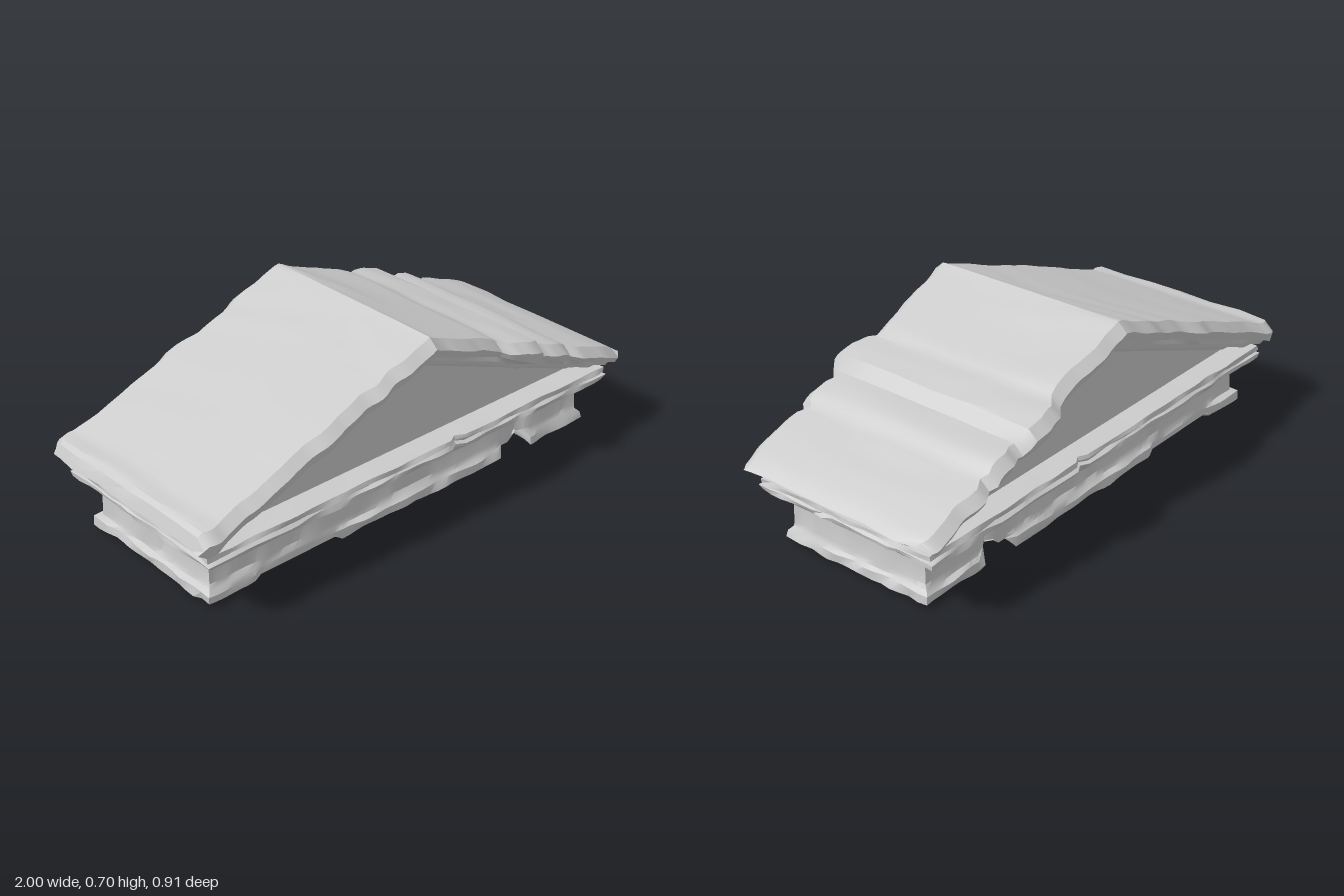
import * as THREE from 'three';
import { toCreasedNormals } from 'three/addons/utils/BufferGeometryUtils.js';

const { lerp, clamp } = THREE.MathUtils;
const stone = new THREE.MeshStandardMaterial({ color: 0xcccccc });

// seeded value noise in -1..1, smooth along t
function hash(n, seed) {
  const s = Math.sin(n * 127.1 + seed * 311.7) * 43758.5453;
  return (s - Math.floor(s)) * 2 - 1;
}
function noise(t, seed) {
  const i = Math.floor(t), f = t - i;
  return lerp(hash(i, seed), hash(i + 1, seed), f * f * (3 - 2 * f));
}

// piecewise linear curve through [x, y] points
function curve(points, x) {
  for (let i = 1; i < points.length; i++) {
    const [x0, y0] = points[i - 1], [x1, y1] = points[i];
    if (x <= x1) return lerp(y0, y1, clamp((x - x0) / (x1 - x0), 0, 1));
  }
  return points[points.length - 1][1];
}

// skin closed loops of equal length into one surface
function loft(name, loops, crease = 0.6) {
  const n = loops[0].length, index = [];
  for (let r = 0; r < loops.length - 1; r++) {
    for (let i = 0; i < n; i++) {
      const a = r * n + i, b = r * n + (i + 1) % n;
      index.push(a, b, b + n, a, b + n, a + n);
    }
  }
  const geometry = new THREE.BufferGeometry();
  geometry.setAttribute('position', new THREE.Float32BufferAttribute(loops.flat(2), 3));
  geometry.setIndex(index);
  const mesh = new THREE.Mesh(toCreasedNormals(geometry, crease), stone);
  mesh.name = name;
  return mesh;
}

// rectangular loop with worn edges, run counter-clockwise seen from above
function rectLoop(hx, hz, y, wear, seed, chip) {
  const loop = [], nx = 56, nz = 16;
  const side = (n, x0, z0, x1, z1) => {
    for (let i = 0; i < n; i++) {
      let x = lerp(x0, x1, i / n), z = lerp(z0, z1, i / n), py = y;
      const along = x * 11 + z * 17;
      const d = wear * noise(along, seed);
      if (hx > 0) {
        x *= 1 + d / hx;
        z *= 1 + d / hz;
        py += wear * 0.6 * noise(along * 0.8, seed + 9);
      }
      if (chip) [x, py, z] = chip(x, py, z);
      loop.push([x, Math.max(py, 0), z]);
    }
  };
  side(nx, -hx, hz, hx, hz);
  side(nz, hx, hz, hx, -hz);
  side(nx, hx, -hz, -hx, -hz);
  side(nz, -hx, -hz, -hx, hz);
  return loop;
}

// broken pieces of the lower moulding on both long sides
function chipBase(x, y, z) {
  if (Math.abs(z) < 0.2) return [x, y, z];
  const gap = x > 0.455 && x < 0.605;
  const shallow = x > -0.7 && x < -0.33;
  if (gap && y < 0.1) {
    y = Math.max(y, x > 0.53 ? 0.075 : 0.05);
    z = Math.sign(z) * Math.min(Math.abs(z), 0.292);
  } else if (shallow && y < 0.1) {
    y = Math.max(y, 0.026);
    z = Math.sign(z) * Math.min(Math.abs(z), 0.305);
  }
  // vertical crack through the frieze
  if (Math.abs(x - 0.575) < 0.018 && Math.abs(z) > 0.27) z *= 0.93;
  return [x, y, z];
}

// notch through the cornice
function chipCornice(x, y, z) {
  if (Math.abs(x - 0.16) < 0.02 && Math.abs(z) > 0.3) z *= 0.95;
  return [x, y, z];
}

// roof silhouette, with slumped blocks on the model's left slope
const ridgeLine = [[-1, 0.30], [-0.975, 0.355], [-0.9, 0.363], [-0.5, 0.515], [0, 0.70],
  [0.32, 0.575], [0.36, 0.55], [0.43, 0.538], [0.5, 0.52], [0.54, 0.475], [0.6, 0.468],
  [0.65, 0.457], [0.7, 0.42], [0.85, 0.37], [0.97, 0.318], [1, 0.295]];
// extra overhang of the roof blocks along x
const overhang = [[-1, -0.02], [-0.93, 0.01], [-0.8, -0.008], [-0.55, 0], [-0.47, 0.013], [-0.4, -0.006],
  [0, 0], [0.34, -0.012], [0.38, 0.02], [0.44, 0.032], [0.51, 0.022], [0.55, -0.012],
  [0.6, 0.012], [0.68, 0.008], [0.7, -0.015], [0.74, 0.008], [0.97, 0], [1, -0.025]];
// half of the stepped raking section: [z, drop below the roof surface]
const rake = [[0, 0], [0.14, 0], [0.27, 0], [0.385, 0.002], [0.422, 0.035], [0.412, 0.066],
  [0.385, 0.072], [0.38, 0.092], [0.345, 0.098], [0.338, 0.12], [0.3, 0.125], [0.29, 0.145], [0, 0.145]];

function roofSection(x) {
  const top = curve(ridgeLine, x), out = curve(overhang, x);
  const straight = 0.70 - Math.abs(x) * 0.378;
  const tip = clamp((Math.abs(x) - 0.92) / 0.08, 0, 1);
  const floor = lerp(0.243, 0.297, tip);
  const point = (z, drop, sign) => {
    const edge = Math.abs(z) > 0.3 ? 1 : 0;
    const wear = edge * (out + 0.008 * noise(x * 17, drop > 0.07 ? 3 : 4 + sign));
    // upper surface follows the slumped line, soffit stays straight
    const base = drop < 0.05 ? top : Math.min(straight, top + 0.015);
    const lift = x === 0 ? 0 : 0.005 * noise(x * 14 + z * 6, 21 + sign);
    const y = base - drop + (drop < 0.05 ? lift : 0);
    const ragged = tip * 0.015 * (noise(z * sign * 14, 31) - 1);
    const px = x + Math.sign(x) * (tip === 1 && z === 0 ? 0 : ragged);
    return [px, Math.max(y, floor), sign * (z + wear * (drop > 0.09 ? 0.4 : 1))];
  };
  const right = rake.map(([z, d]) => point(z, d, 1));
  const left = rake.slice(1, -1).reverse().map(([z, d]) => point(z, d, -1));
  return [...right, ...left];
}

export function createModel() {
  const group = new THREE.Group();

  // hollow frieze with its broken lower moulding: [half width, half depth, y, wear]
  const base = [[0, 0, 0.15, 0], [0.81, 0.235, 0.15, 0], [0.815, 0.24, 0.02, 0.004],
    [0.88, 0.305, 0.006, 0.006], [0.895, 0.317, 0.016, 0.008], [0.893, 0.317, 0.045, 0.008],
    [0.878, 0.302, 0.057, 0.005], [0.873, 0.294, 0.075, 0.004], [0.873, 0.294, 0.165, 0.003]];
  group.add(loft('frieze', base.map(([hx, hz, y, w], i) => rectLoop(hx, hz, y, w, 1 + i * 0.01, chipBase))));

  // stepped horizontal cornice
  const cornice = [[0, 0, 0.157, 0], [0.885, 0.33, 0.157, 0.003], [0.9, 0.35, 0.175, 0.005],
    [0.908, 0.362, 0.193, 0.005], [0.932, 0.378, 0.198, 0.007], [0.934, 0.38, 0.215, 0.007],
    [0.918, 0.368, 0.222, 0.005], [0.938, 0.378, 0.228, 0.007], [0.935, 0.372, 0.243, 0.006],
    [0.9, 0.31, 0.246, 0], [0, 0, 0.246, 0]];
  group.add(loft('cornice', cornice.map(([hx, hz, y, w], i) => rectLoop(hx, hz, y, w, 2 + i * 0.01, chipCornice))));

  // triangular gable wall, recessed below the roof on both ends
  const triangle = new THREE.Shape([[-0.87, 0.24], [0.87, 0.24], [0, 0.57]].map(p => new THREE.Vector2(...p)));
  const gable = new THREE.Mesh(
    new THREE.ExtrudeGeometry(triangle, { depth: 0.57, bevelEnabled: false }).translate(0, 0, -0.285), stone);
  gable.name = 'gableWall';
  group.add(gable);

  // weathered roof with stepped raking cornices
  const xs = [];
  for (let i = -50; i <= 50; i++) xs.push(i / 50);
  group.add(loft('roof', xs.map(roofSection), 0.5));

  return group;
}
